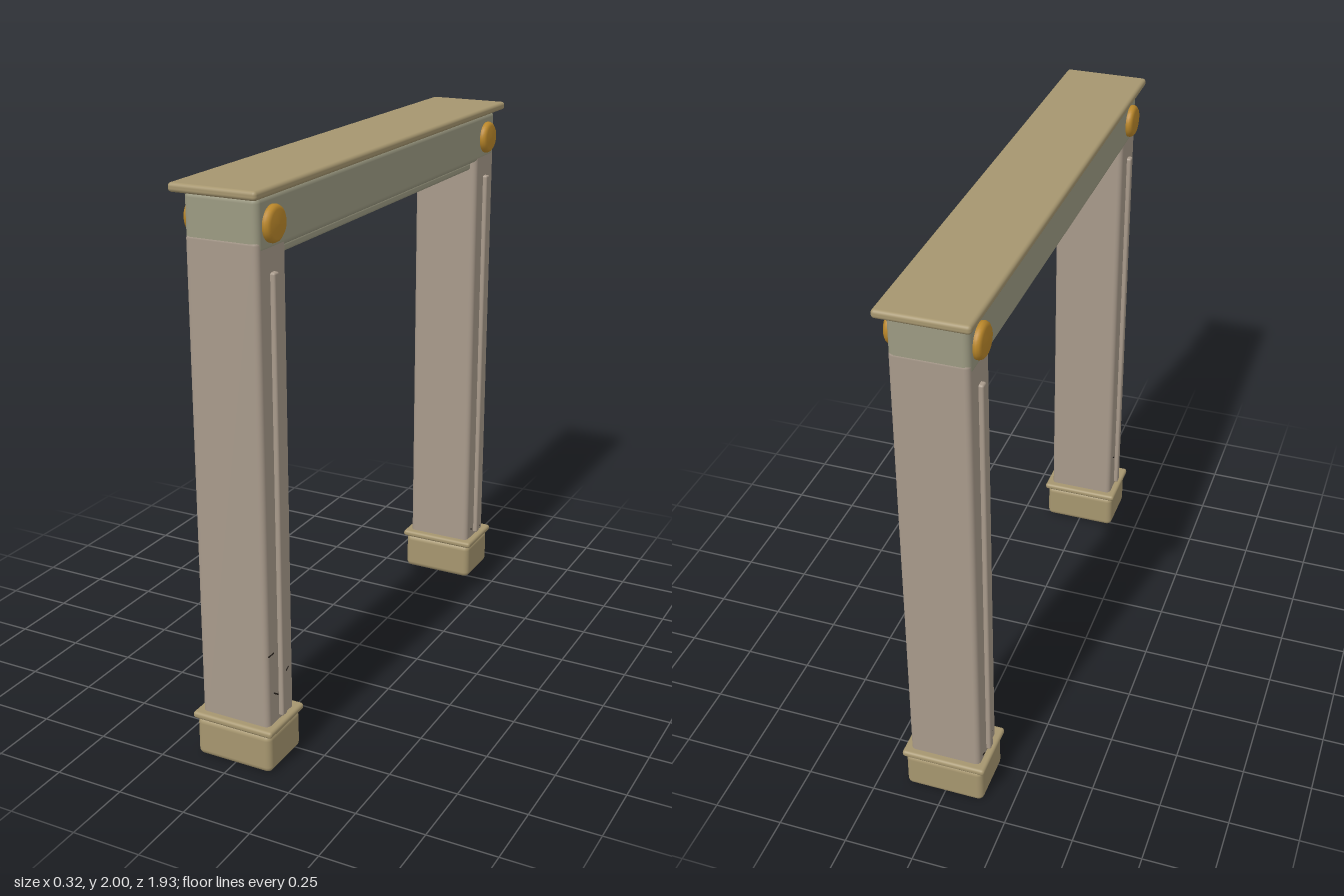
import * as THREE from 'three';
import { RoundedBoxGeometry } from 'three/addons/geometries/RoundedBoxGeometry.js';

const mat = (color) => new THREE.MeshStandardMaterial({ color });

export function createModel() {
  const gate = new THREE.Group();
  gate.name = 'gateway';
  const post = mat(0xa89a8b), beamMat = mat(0x9c9a82), trim = mat(0xa6966f);
  const gold = mat(0xba872a), dark = mat(0x2e2822);

  const add = (parent, name, geometry, material, x, y, z) => {
    const mesh = new THREE.Mesh(geometry, material);
    mesh.name = name;
    mesh.position.set(x, y, z);
    parent.add(mesh);
    return mesh;
  };
  // Rounded block given by its size in x and z and its bottom and top heights
  const block = (parent, name, material, w, y0, y1, d, r, x = 0, z = 0) =>
    add(parent, name, new RoundedBoxGeometry(w, y1 - y0, d, 3, r), material, x, (y0 + y1) / 2, z);

  // Lintel with its cap and the thin moulding beneath
  block(gate, 'lintel', beamMat, 0.262, 1.79, 1.972, 1.836, 0.022);
  block(gate, 'cap', trim, 0.31, 1.97, 2, 1.93, 0.012);
  block(gate, 'underMoulding', beamMat, 0.22, 1.762, 1.795, 1.48, 0.012);

  // Domed round boss, turned about its axis
  const bossProfile = [[0, -0.02], [0.058, -0.02], [0.06, 0.01], [0.056, 0.019], [0.046, 0.026], [0, 0.028]]
    .map(([r, h]) => new THREE.Vector2(r, h));
  const bossGeometry = new THREE.LatheGeometry(bossProfile, 32);

  // Hairline cracks per post: height, offset along z, length, tilt
  const cracks = {
    1: [[0.434, 0.06, 0.032, 0], [0.275, 0.034, 0.036, 0.6], [0.333, -0.043, 0.02, -0.5]],
    '-1': [[0.205, 0.039, 0.022, 0.4], [0.183, -0.042, 0.024, -0.4]],
  };

  for (const end of [1, -1]) {
    const leg = new THREE.Group();
    leg.name = end > 0 ? 'frontPost' : 'backPost';
    leg.position.z = end * 0.832;
    gate.add(leg);

    block(leg, 'shaft', post, 0.26, 0.13, 1.84, 0.174, 0.018);
    block(leg, 'plinth', trim, 0.29, 0.003, 0.148, 0.212, 0.022);
    block(leg, 'baseMoulding', trim, 0.31, 0.145, 0.17, 0.228, 0.011);

    for (const side of [1, -1]) {
      block(leg, 'raisedStrip', post, 0.03, 0.18, 1.727, 0.03, 0.007, side * 0.131);
      const boss = add(leg, 'boss', bossGeometry, gold, side * 0.13, 1.878, 0);
      boss.rotation.z = -side * Math.PI / 2;
      for (const [y, z, length, tilt] of cracks[end]) {
        const crack = add(leg, 'crack', new THREE.BoxGeometry(0.004, 0.005, length), dark, side * 0.1295, y, z);
        crack.rotation.x = -tilt;
      }
    }
  }
  return gate;
}
